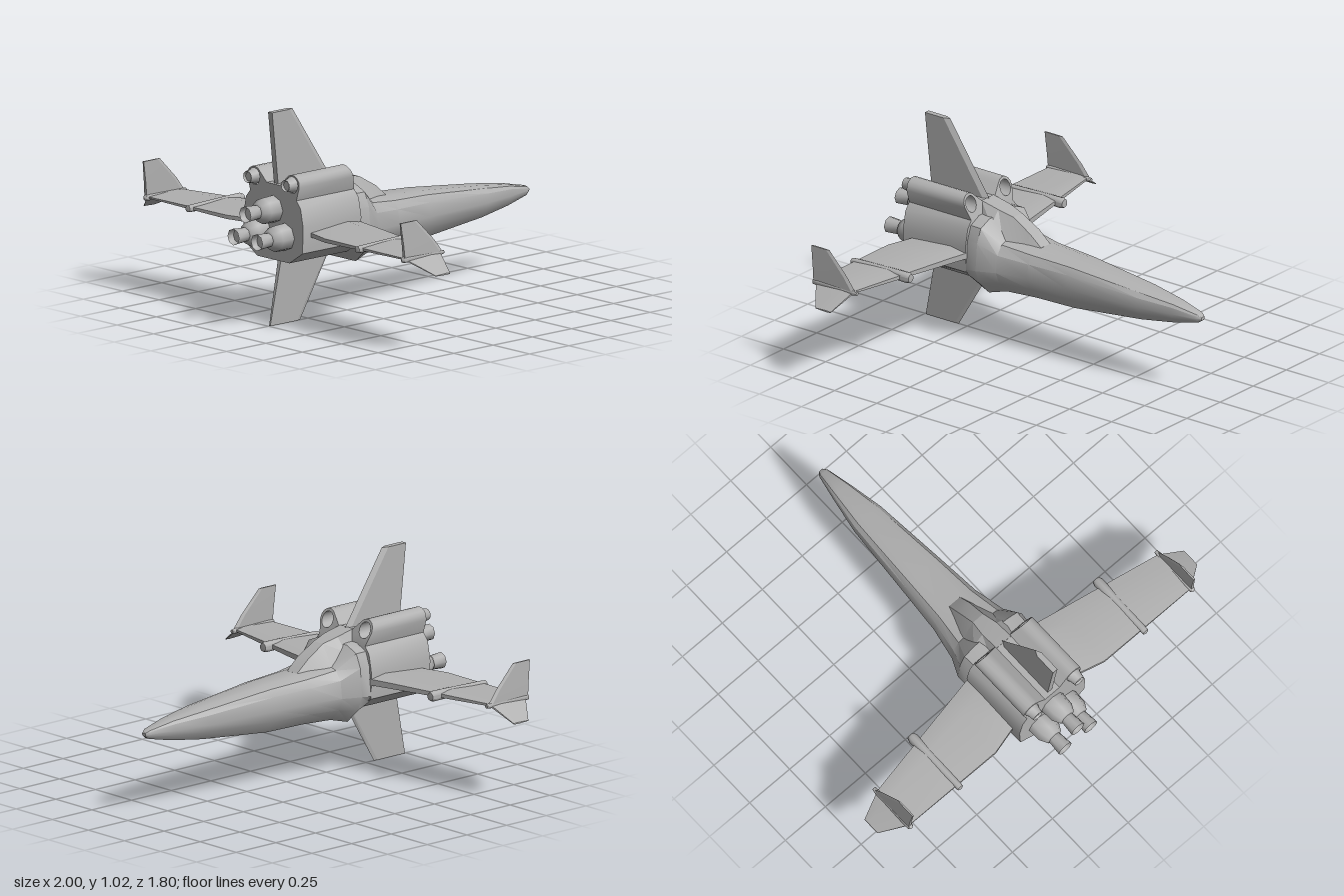
import * as THREE from 'three';
import { toCreasedNormals } from 'three/addons/utils/BufferGeometryUtils.js';

// Skin a list of equal-length rings of [x, y, z] points and cap both ends
function loft(rings, crease = 0.45) {
  const n = rings[0].length, last = (rings.length - 1) * n, index = [];
  for (let i = 0; i < rings.length - 1; i++) {
    for (let j = 0; j < n; j++) {
      const a = i * n + j, b = i * n + (j + 1) % n;
      index.push(a, b, b + n, a, b + n, a + n);
    }
  }
  for (let j = 1; j < n - 1; j++) index.push(0, j + 1, j, last, last + j, last + j + 1);
  const g = new THREE.BufferGeometry();
  g.setAttribute('position', new THREE.Float32BufferAttribute(rings.flat(2), 3));
  g.setIndex(index);
  return toCreasedNormals(g, crease);
}

// Symmetric cross-section from half points listed top to bottom
function section(z, half) {
  return [
    ...[...half].reverse().map(([x, y]) => [x, y, z]),
    ...half.map(([x, y]) => [-x, y, z]),
  ];
}

// Upright blade: rows of [y, x, half thickness, front z, rear z], lowest first
function blade(rows, bevel) {
  return loft(rows.map(([y, x, t, z0, z1]) => [
    [x - t, y, z1], [x + t, y, z1], [x + t, y, z0 + bevel], [x, y, z0], [x - t, y, z0 + bevel],
  ]), 0.2);
}

// Wing: rows of [x, y, half thickness, front z, rear z], root first
function wing(rows, s) {
  return loft(rows.map(([x, y, t, z0, z1]) => {
    const d = z1 - z0;
    const ring = [
      [s * x, y + t, z0 + d * 0.3], [s * x, y + t * 0.35, z1], [s * x, y - t * 0.35, z1],
      [s * x, y - t, z0 + d * 0.3], [s * x, y - t * 0.5, z0 + d * 0.04], [s * x, y + t * 0.5, z0 + d * 0.04],
    ];
    return s > 0 ? ring : ring.reverse();
  }), 0.3);
}

// Turned part along z from [radius, z] points, rear end first
function turned(points, sides) {
  const g = new THREE.LatheGeometry(points.map(([r, z]) => new THREE.Vector2(r, -z)), sides);
  g.rotateX(-Math.PI / 2);
  return toCreasedNormals(g, sides > 10 ? 0.6 : 0.9);
}

export function createModel() {
  const model = new THREE.Group();
  const hull = new THREE.MeshStandardMaterial({ color: 0xb0b0b0, side: THREE.DoubleSide });
  hull.name = 'hull grey';
  const add = (name, geometry, x = 0, y = 0, z = 0) => {
    const m = new THREE.Mesh(geometry, hull);
    m.name = name;
    m.position.set(x, y, z);
    model.add(m);
    return m;
  };

  // Forward fuselage: [z, top, top half width, half width, shoulder y, chine y, bottom]
  const stations = [
    [-0.9, 0.408, 0.006, 0.012, 0.406, 0.40, 0.392],
    [-0.88, 0.422, 0.011, 0.026, 0.414, 0.40, 0.378],
    [-0.75, 0.45, 0.02, 0.052, 0.437, 0.40, 0.35],
    [-0.57, 0.475, 0.03, 0.085, 0.452, 0.40, 0.325],
    [-0.18, 0.515, 0.045, 0.115, 0.48, 0.40, 0.288],
    [0.04, 0.527, 0.05, 0.133, 0.485, 0.40, 0.287],
    [0.2, 0.548, 0.06, 0.165, 0.50, 0.40, 0.282],
    [0.29, 0.63, 0.10, 0.205, 0.56, 0.40, 0.26],
    [0.36, 0.63, 0.10, 0.2, 0.56, 0.39, 0.32],
  ];
  add('forwardFuselage', loft(stations.map(([z, top, a, w, sh, ch, bot]) => section(z, [
    [a, top], [(a + w) * 0.54, (top + sh) / 2 + (top - sh) * 0.1], [w * 0.94, sh - (sh - ch) * 0.15],
    [w, ch], [w * 0.86, ch - (ch - bot) * 0.5], [w * 0.5, bot],
  ])), 0.5));

  // Canopy: [z, top, top half width, base half width]
  const canopy = [
    [0.035, 0.527, 0.034, 0.04], [0.1, 0.582, 0.036, 0.065], [0.2, 0.64, 0.032, 0.105],
    [0.28, 0.662, 0.045, 0.1], [0.38, 0.683, 0.045, 0.08],
  ];
  add('canopy', loft(canopy.map(([z, top, a, b]) =>
    section(z, [[a, top], [b, z < 0.25 ? 0.515 : 0.6]])), 0.2));

  // Rear fuselage with two upper intake ducts
  const half = [[0.11, 0.318], [0.2, 0.378], [0.205, 0.5], [0.187, 0.59], [0.158, 0.625], [0.178, 0.69]];
  for (let i = 1; i <= 6; i++) {
    const a = i * Math.PI * 0.8 / 6;
    half.push([0.13 + 0.049 * Math.cos(a), 0.695 + 0.049 * Math.sin(a)]);
  }
  half.push([0.045, 0.68]);
  const outline = new THREE.Shape([...half, ...half.map(([x, y]) => [-x, y]).reverse()]
    .map(([x, y]) => new THREE.Vector2(x, y)));
  for (const s of [-1, 1]) {
    outline.holes.push(new THREE.Path().absellipse(s * 0.129, 0.693, 0.036, 0.038, 0, Math.PI * 2, true));
  }
  const rear = new THREE.ExtrudeGeometry(outline, { depth: 0.37, bevelEnabled: false, curveSegments: 8 });
  rear.translate(0, 0, 0.35);
  // Rake the duct mouths back
  const p = rear.attributes.position;
  for (let i = 0; i < p.count; i++) {
    if (p.getZ(i) < 0.5) p.setZ(i, 0.35 + Math.max(0, p.getY(i) - 0.62) * 0.35);
  }
  add('rearFuselage', toCreasedNormals(rear, 0.6));

  // Vertical fins
  add('tailFin', blade([[0.66, 0, 0.014, 0.355, 0.7], [1.025, 0, 0.014, 0.6, 0.74]], 0.03));
  add('ventralFin', blade([[0.003, 0, 0.004, 0.55, 0.743], [0.34, 0, 0.011, 0.345, 0.675]], 0.02));

  // Main engines
  for (const [x, y] of [[0, 0.56], [-0.08, 0.44], [0.08, 0.44]]) {
    add('mainEngine', turned([
      [0, 0.87], [0.032, 0.87], [0.04, 0.9], [0.034, 0.825], [0.045, 0.82], [0.063, 0.785], [0.066, 0.715],
    ], 8), x, y);
  }

  for (const s of [1, -1]) {
    const side = s > 0 ? 'left' : 'right';
    // Duct back wall and exhaust
    add(side + 'DuctExhaust', turned([
      [0, 0.755], [0.022, 0.755], [0.028, 0.765], [0.033, 0.735], [0.039, 0.721], [0.039, 0.6], [0, 0.58],
    ], 12), s * 0.13, 0.698);

    // Wing with drooped tip
    add(side + 'Wing', wing([
      [0.17, 0.46, 0.03, 0.33, 0.66], [0.34, 0.462, 0.026, 0.362, 0.705], [0.885, 0.465, 0.01, 0.47, 0.705],
    ], s));
    add(side + 'WingTip', wing([
      [0.88, 0.465, 0.01, 0.47, 0.705], [1.0, 0.39, 0.004, 0.52, 0.615],
    ], s));

    // Winglet
    add(side + 'Winglet', blade([
      [0.46, s * 0.885, 0.008, 0.46, 0.71], [0.53, s * 0.883, 0.007, 0.515, 0.716], [0.64, s * 0.88, 0.004, 0.625, 0.73],
    ], 0.02));

    // Pods carried on the wing
    add(side + 'WingPod', turned([
      [0, 0.732], [0.016, 0.725], [0.018, 0.7], [0.025, 0.47], [0.026, 0.395], [0.02, 0.378], [0, 0.376],
    ], 10), s * 0.58, 0.463);
    add(side + 'TipPod', turned([
      [0, 0.725], [0.014, 0.715], [0.016, 0.69], [0.013, 0.48], [0.009, 0.458], [0, 0.456],
    ], 10), s * 0.882, 0.463);
  }
  return model;
}
